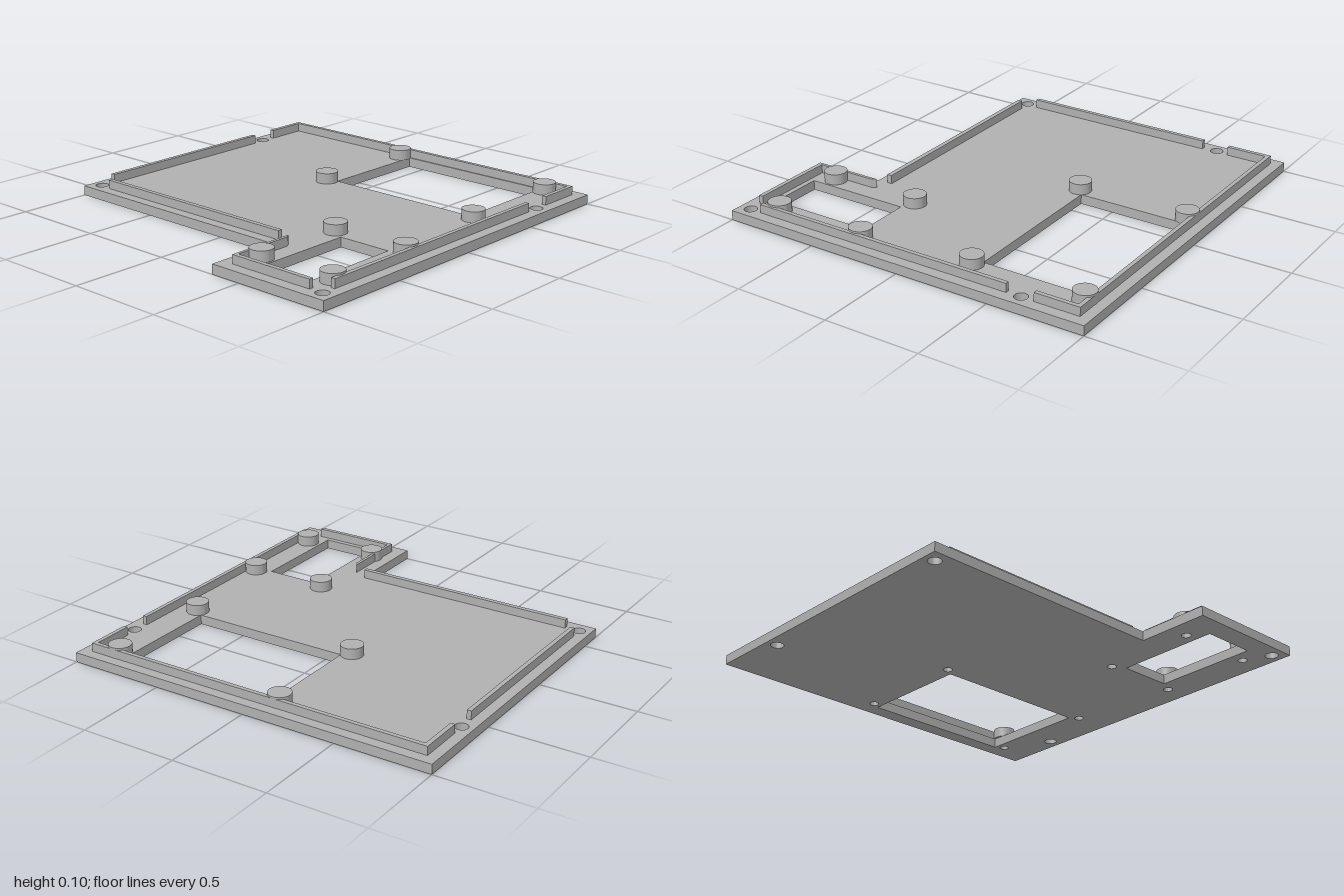
import * as THREE from 'three';
import { toCreasedNormals } from 'three/addons/utils/BufferGeometryUtils.js';

const PLATE = 0.05, RAIL_TOP = 0.095, POST_TOP = 0.105;

export function createModel() {
  const group = new THREE.Group();
  const grey = new THREE.MeshStandardMaterial({ color: 0xb0b0b0 });
  grey.name = 'grey';

  const add = (name, geometry) => {
    const mesh = new THREE.Mesh(geometry, grey);
    mesh.name = name;
    group.add(mesh);
    return mesh;
  };
  // Plan outlines are given as [x, z]
  const plan = (pts) => pts.map(([x, z]) => new THREE.Vector2(x, -z));
  const raise = (shape, y, height) => new THREE.ExtrudeGeometry(shape, { depth: height, bevelEnabled: false, curveSegments: 24 })
    .rotateX(-Math.PI / 2).translate(0, y, 0);
  const circle = (x, z, r) => new THREE.Path().absarc(x, -z, r, 0, Math.PI * 2, true);
  const window4 = (x0, x1, z0, z1) => new THREE.Path(plan([[x0, z0], [x1, z0], [x1, z1], [x0, z1]]));

  const posts = [];
  for (const x of [-0.135, 0.81]) for (const z of [-0.89, -0.29]) posts.push([x, z]);
  for (const x of [0.448, 0.873]) for (const z of [0.302, 0.8]) posts.push([x, z]);

  // Base plate with two windows, four screw holes and a bore below each post
  const base = new THREE.Shape(plan([[-1, 0.62], [0.335, 0.62], [0.335, 1], [1, 1], [1, -1], [-1, -1]]));
  base.holes.push(window4(-0.09, 0.765, -0.917, -0.323), window4(0.515, 0.8, 0.34, 0.89));
  for (const [x, z] of [[-0.94, -0.64], [0.935, -0.64], [-0.94, 0.55], [0.935, 0.935]]) base.holes.push(circle(x, z, 0.033));
  for (const [x, z] of posts) base.holes.push(circle(x, z, 0.024));
  add('basePlate', toCreasedNormals(raise(base, 0, PLATE), 0.6));

  // Thin locating rails around the rim: x0, x1, z0, z1
  const rails = {
    backRail: [-0.946, 0.942, -0.946, -0.924],
    leftSideBackRail: [0.92, 0.942, -0.924, -0.71],
    leftSideFrontRail: [0.92, 0.942, -0.565, 0.865],
    rightSideBackRail: [-0.946, -0.923, -0.924, -0.71],
    rightSideFrontRail: [-0.946, -0.923, -0.565, 0.48],
    frontRail: [-0.867, 0.328, 0.54, 0.565],
    tabFrontRail: [0.402, 0.865, 0.917, 0.94],
  };
  for (const [name, [x0, x1, z0, z1]] of Object.entries(rails)) {
    const box = new THREE.BoxGeometry(x1 - x0, RAIL_TOP - PLATE, z1 - z0);
    add(name, box).position.set((x0 + x1) / 2, (RAIL_TOP + PLATE) / 2, (z0 + z1) / 2);
  }
  // Tab side rail has a slanted end
  const tabRail = new THREE.Shape(plan([[0.402, 0.917], [0.418, 0.917], [0.418, 0.6], [0.402, 0.575]]));
  add('tabSideRail', raise(tabRail, PLATE, RAIL_TOP - PLATE));

  // Round posts with a blind bore open to the underside
  const profile = [[0, 0.088], [0.024, 0.088], [0.024, PLATE], [0.058, PLATE], [0.058, POST_TOP], [0, POST_TOP]];
  const postGeometry = toCreasedNormals(
    new THREE.LatheGeometry(profile.map(([r, y]) => new THREE.Vector2(r, y)), 40), 0.6);
  for (const [x, z] of posts) add('post', postGeometry).position.set(x, 0, z);

  return group;
}
